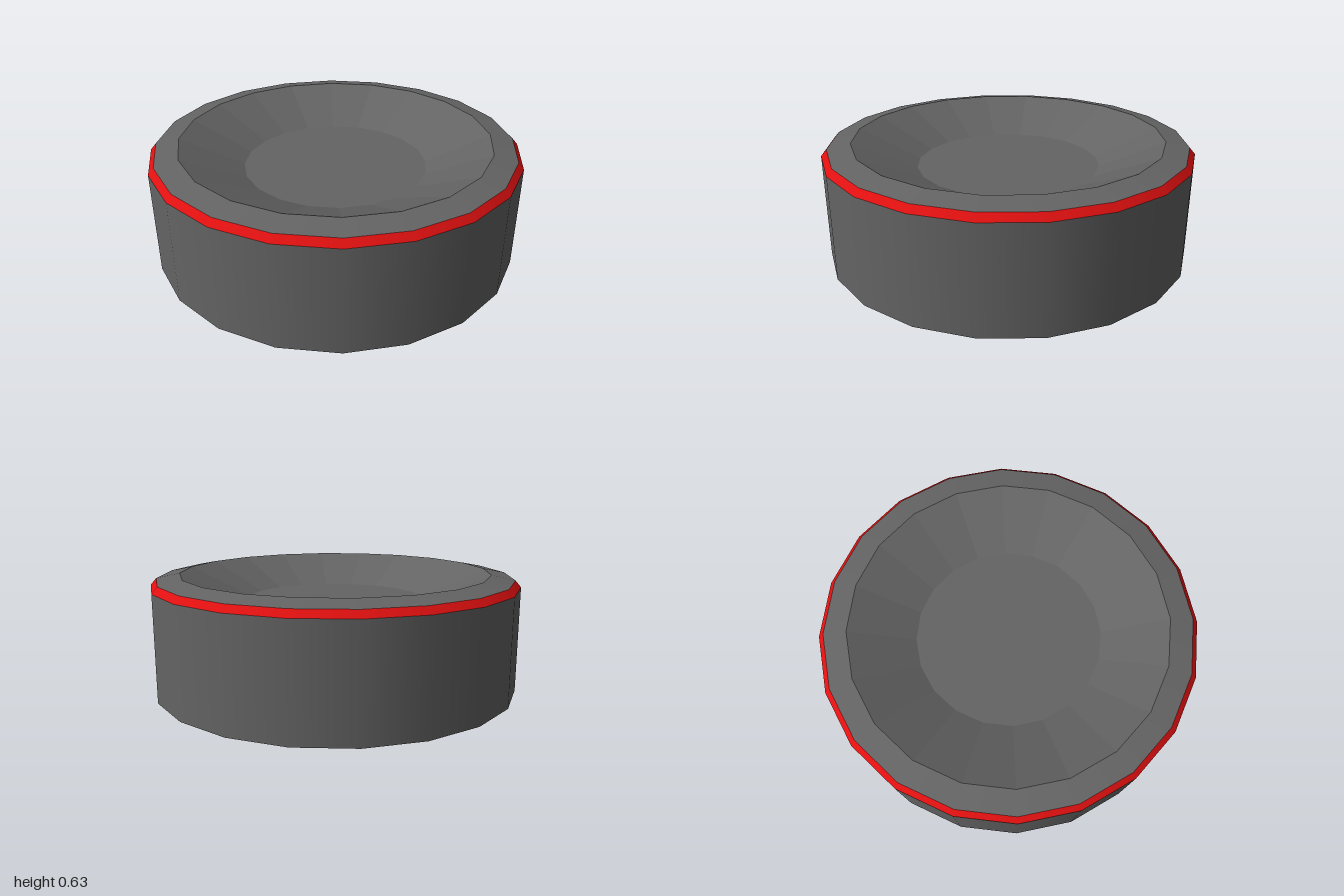
import * as THREE from 'three';

const SIDES = 20;

export function createModel() {
  const model = new THREE.Group();
  model.name = 'bowl';

  const grey = new THREE.MeshStandardMaterial({ name: 'dark grey', color: 0x646464 });
  const red = new THREE.MeshStandardMaterial({ name: 'red', color: 0xe01010 });

  // Each band is turned on its own: smooth around, sharp where bands meet.
  function addBand(name, material, from, to, flat = false) {
    let geometry = new THREE.LatheGeometry(
      [new THREE.Vector2(...from), new THREE.Vector2(...to)], SIDES);
    if (flat) {
      geometry = geometry.toNonIndexed();
      geometry.computeVertexNormals();
    }
    const mesh = new THREE.Mesh(geometry, material);
    mesh.name = name;
    model.add(mesh);
  }

  // Profile points (radius, height), from the underside up and into the bowl
  const bottomEdge = [1, 0];
  const wallTop = [1, 0.57];
  const stripeTop = [0.97, 0.605];
  const lip = [0.845, 0.63];
  const floorEdge = [0.5, 0.475];

  addBand('underside', grey, [0, 0], bottomEdge);
  addBand('outerWall', grey, bottomEdge, wallTop);
  addBand('redStripe', red, wallTop, stripeTop);
  addBand('rim', grey, stripeTop, lip);
  addBand('innerSlope', grey, lip, floorEdge, true);
  addBand('bowlFloor', grey, floorEdge, [0, floorEdge[1]]);

  return model;
}
